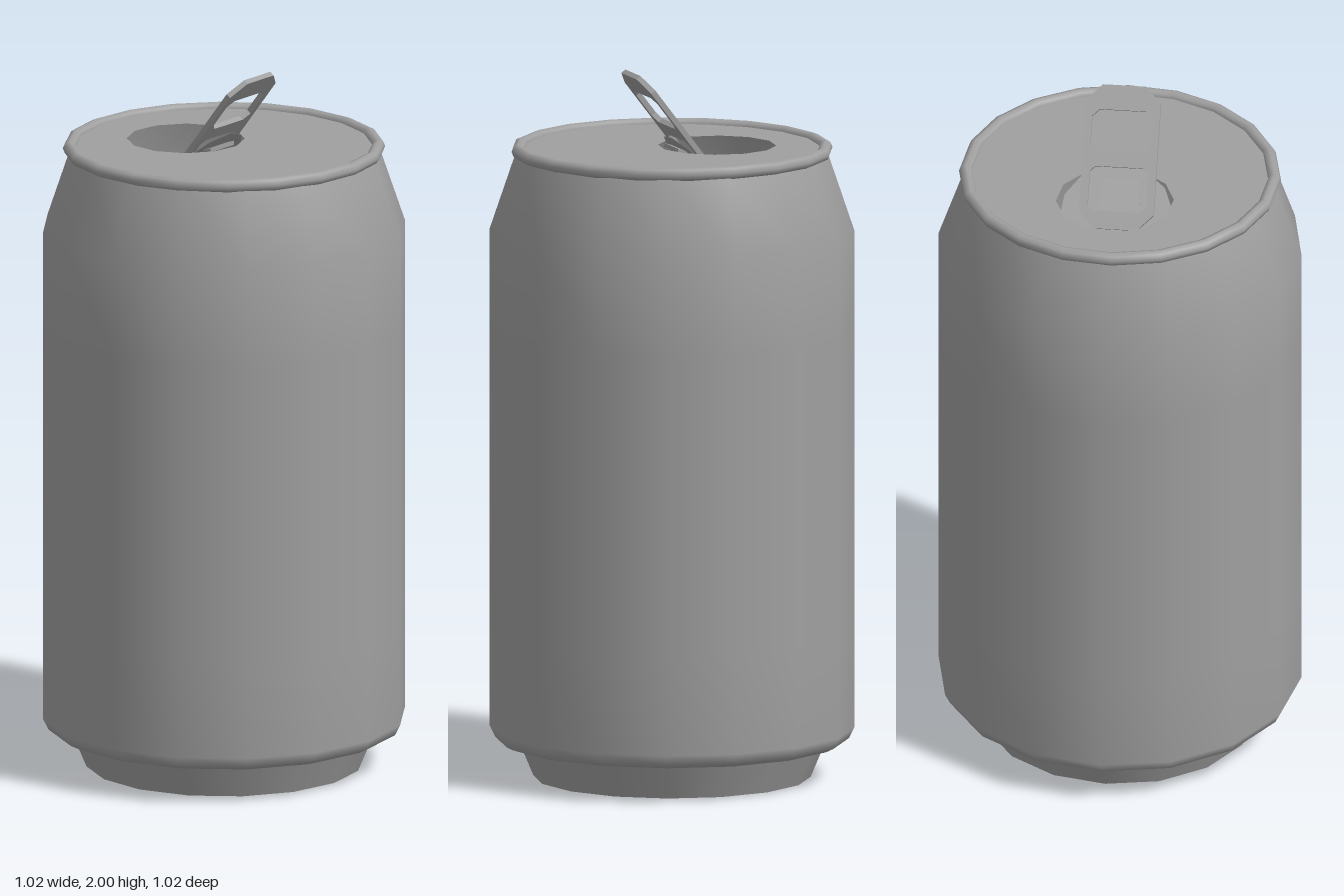
import * as THREE from 'three';

const SIDES = 16, RIM_SIDES = 20, LID_Y = 1.78;
const RIM_TURN = THREE.MathUtils.degToRad(3);
const v2 = (p) => new THREE.Vector2(p[0], p[1]);

export function createModel() {
  const can = new THREE.Group();
  can.name = 'drinkCan';
  const metal = new THREE.MeshStandardMaterial({ color: 0xa0a0a0, side: THREE.DoubleSide });
  metal.name = 'grey metal';

  const add = (name, geometry) => {
    const mesh = new THREE.Mesh(geometry, metal);
    mesh.name = name;
    can.add(mesh);
    return mesh;
  };
  const lathe = (name, profile, sides = SIDES) =>
    add(name, new THREE.LatheGeometry(profile.map(v2), sides));

  // Wall with rounded lower edge and tapered neck
  lathe('body', [
    [0.475, 0.1], [0.495, 0.11], [0.51, 0.14], [0.51, 0.42], [0.51, 0.7],
    [0.51, 0.98], [0.51, 1.27], [0.51, 1.55], [0.437, 1.765],
  ]);

  // Underside step, foot and inward dome
  lathe('bottomStep', [[0.43, 0.1], [0.475, 0.1]]);
  lathe('foot', [[0.388, 0], [0.43, 0.1]]);
  lathe('bottomDome', [[0, 0.12], [0.13, 0.107], [0.25, 0.07], [0.34, 0.027], [0.388, 0]]);

  // Rolled rim
  const rimGeo = new THREE.TorusGeometry(0.432, 0.019, 8, RIM_SIDES).rotateX(Math.PI / 2);
  add('rim', rimGeo.rotateY(RIM_TURN + Math.PI / RIM_SIDES * 2)).position.y = 1.776;

  // Lid with the drinking hole
  const circle = (cx, r, n, turn = 0) => Array.from({ length: n }, (_, i) => {
    const a = turn + (i / n) * Math.PI * 2;
    return new THREE.Vector2(cx + r * Math.cos(a), r * Math.sin(a));
  });
  const lidShape = new THREE.Shape(circle(0, 0.428, RIM_SIDES, RIM_TURN));
  const opening = circle(-0.135, 0.165, 12, 0.12);
  lidShape.holes.push(new THREE.Path(opening));
  add('lid', new THREE.ShapeGeometry(lidShape).rotateX(-Math.PI / 2)).position.y = LID_Y;

  // Flap bent down into the can, hinged beside the tab
  const flapGeo = new THREE.ShapeGeometry(new THREE.Shape(circle(-0.135, 0.163, 12, 0.12)));
  flapGeo.rotateX(-Math.PI / 2).translate(0.03, 0, 0).rotateZ(0.83);
  add('openedFlap', flapGeo).position.set(-0.03, LID_Y - 0.01, 0);

  // Raised pull tab: chamfered plate with two windows
  const chamferedRect = (u0, u1, w, c) => [
    [u0 + c, -w], [u1 - c, -w], [u1, -w + c], [u1, w - c],
    [u1 - c, w], [u0 + c, w], [u0, w - c], [u0, -w + c],
  ].map(v2);
  const tabShape = new THREE.Shape(chamferedRect(0, 0.405, 0.105, 0.045));
  tabShape.holes.push(
    new THREE.Path(chamferedRect(0.05, 0.175, 0.082, 0.015)),
    new THREE.Path(chamferedRect(0.22, 0.335, 0.085, 0.02)),
  );
  const tabGeo = new THREE.ExtrudeGeometry(tabShape, { depth: 0.015, bevelEnabled: false });
  tabGeo.rotateX(-Math.PI / 2).rotateZ(0.915);
  add('pullTab', tabGeo).position.set(-0.118, 1.67, 0);

  // Bent tongue joining the tab to the lid
  const tongueShape = new THREE.Shape([
    [0, 0], [-0.03, -0.01], [-0.092, -0.075], [-0.092, -0.087], [-0.03, -0.022], [0, -0.012],
  ].map(v2));
  const tongueGeo = new THREE.ExtrudeGeometry(tongueShape, { depth: 0.11, bevelEnabled: false });
  add('tabTongue', tongueGeo).position.set(0, LID_Y + 0.005, -0.047);

  return can;
}
